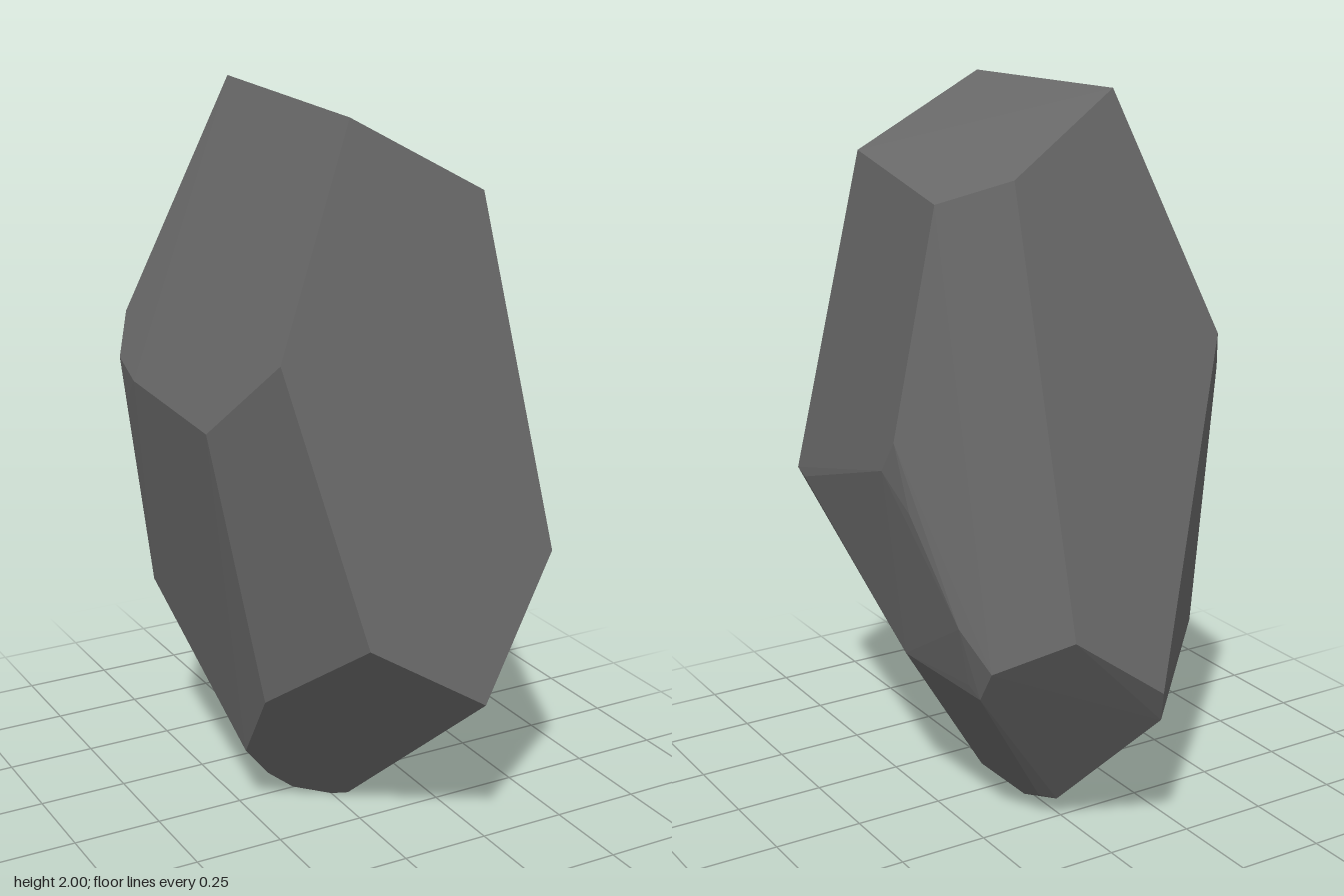
import * as THREE from 'three';
import { ConvexGeometry } from 'three/addons/geometries/ConvexGeometry.js';

// A faceted boulder: the convex hull of its corner points, grouped by region.
export function createModel() {
  const stone = new THREE.MeshStandardMaterial({ color: 0x6a6a6a });
  stone.name = 'darkStone';

  // sloping top
  const crown = [
    [-0.12, 2.0, -0.28], [0.225, 1.81, -0.37], [0.345, 1.735, -0.19],
    [0.225, 1.78, 0.45], [-0.14, 1.98, 0.42],
  ];
  // lower corners of the large front facet
  const front = [
    [0.37, 0.85, 0.595], [0.38, 0.84, 0.53], [0.145, 0.48, 0.645],
    [-0.18, 0.685, 0.61], [-0.37, 1.42, 0.5],
  ];
  // chipped side towards +x
  const plusSide = [
    [0.45, 1.13, -0.15], [0.455, 1.04, -0.09], [0.435, 0.95, -0.2],
    [0.385, 0.68, -0.36], [0.345, 0.58, -0.455], [0.345, 0.51, -0.34],
    [0.335, 0.48, -0.38], [0.35, 0.48, -0.01],
  ];
  // side towards -x
  const minusSide = [
    [-0.46, 1.2, 0.27], [-0.455, 1.22, -0.19], [-0.435, 1.25, -0.33],
    [-0.425, 1.13, -0.31], [-0.31, 0.44, 0.285], [-0.33, 0.56, -0.38],
  ];
  // back
  const back = [
    [0.21, 0.7, -0.635], [-0.05, 0.51, -0.65], [-0.08, 0.41, -0.6], [-0.385, 1.36, -0.395],
  ];
  // narrow rounded foot
  const foot = [
    [-0.27, 0.2, 0.085], [-0.18, 0.09, 0.045], [-0.1, 0.025, 0.04], [0, 0, 0.086],
    [0.035, 0.01, 0.12], [0.05, 0.03, -0.14], [-0.03, 0.03, -0.15],
    [0.06, 0.07, -0.23], [0.02, 0.06, -0.26],
  ];

  const points = [...crown, ...front, ...plusSide, ...minusSide, ...back, ...foot]
    .map((p) => new THREE.Vector3(...p));
  const boulder = new THREE.Mesh(new ConvexGeometry(points), stone);
  boulder.name = 'boulder';

  const group = new THREE.Group();
  group.name = 'rock';
  group.add(boulder);
  return group;
}
